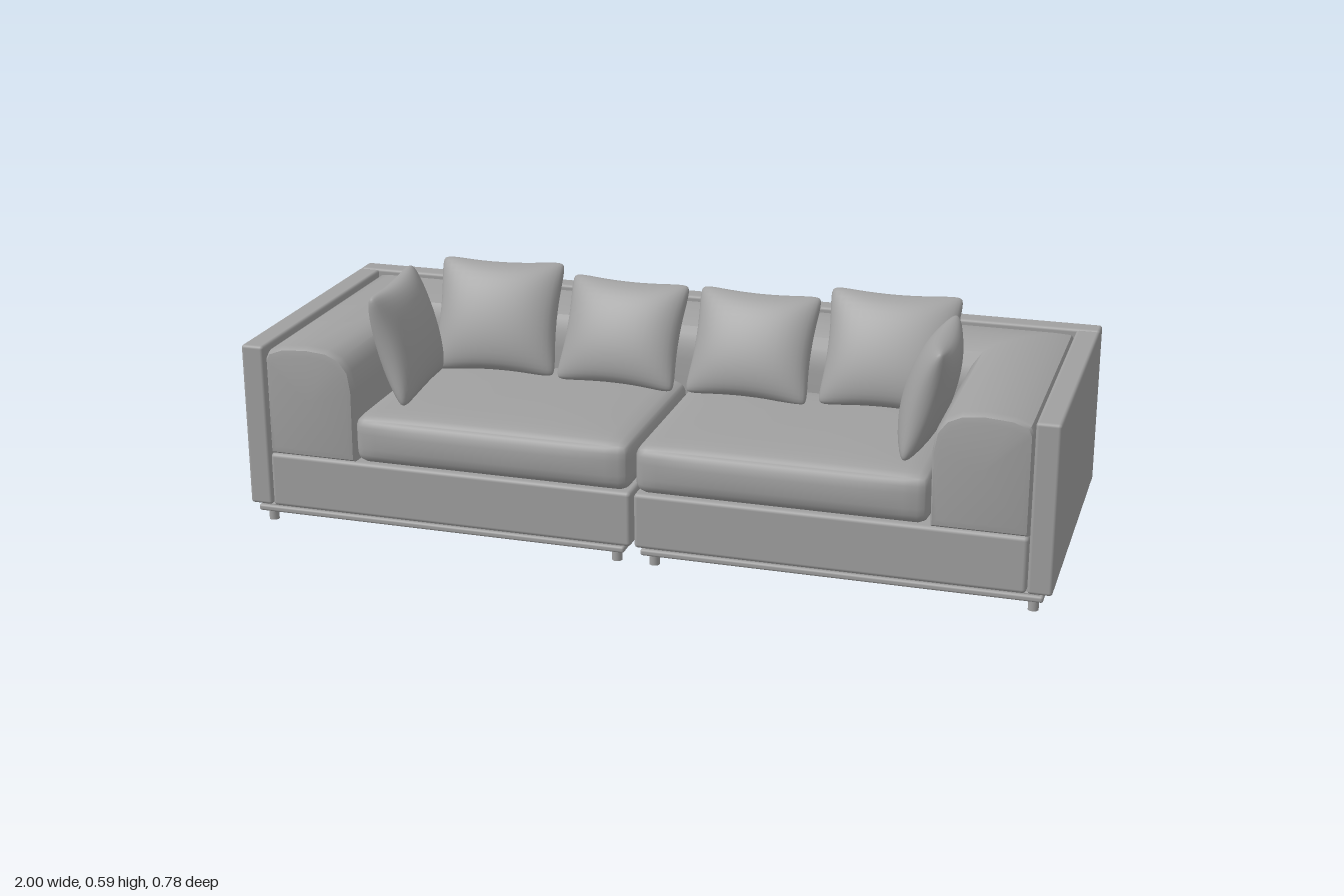
import * as THREE from 'three';
import { mergeGeometries, mergeVertices, toCreasedNormals } from 'three/addons/utils/BufferGeometryUtils.js';
import { RoundedBoxGeometry } from 'three/addons/geometries/RoundedBoxGeometry.js';

const fabric = new THREE.MeshStandardMaterial({ color: 0xa0a0a0 });
fabric.name = 'grey fabric';

// pack grid points towards the edges, t in -1..1
const dense = (t) => Math.sin(THREE.MathUtils.clamp(t, -1, 1) * Math.PI / 2);

// weld vertices so that normals run smoothly over the seams
function smooth(geometry) {
  geometry.deleteAttribute('uv');
  geometry.deleteAttribute('normal');
  const welded = mergeVertices(geometry, 1e-5);
  welded.computeVertexNormals();
  return welded;
}

// rounded block whose top and front swell outwards
function softBlock(w, h, d, r, topSwell, frontSwell) {
  const g = new THREE.BoxGeometry(2, 2, 2, 16, 10, 16);
  const p = g.attributes.position;
  const half = new THREE.Vector3(w / 2, h / 2, d / 2);
  const inner = half.clone().subScalar(r);
  const v = new THREE.Vector3(), core = new THREE.Vector3();
  for (let i = 0; i < p.count; i++) {
    const a = dense(p.getX(i)), b = dense(p.getY(i)), c = dense(p.getZ(i));
    v.set(a, b, c).multiply(half);
    core.copy(v).clamp(inner.clone().negate(), inner);
    v.sub(core).normalize().multiplyScalar(r).add(core);
    v.y += topSwell * (1 - a ** 4) * (1 - c ** 4) * Math.max(0, b);
    v.z += frontSwell * (1 - a ** 4) * (1 - b * b) * Math.max(0, c);
    p.setXYZ(i, v.x, v.y, v.z);
  }
  return smooth(g);
}

// plump throw pillow with drawn-in sides and soft ears
function pillowGeometry(w, h, t) {
  const faces = [1, -1].map((side) => {
    const g = new THREE.PlaneGeometry(2, 2, 20, 20);
    const p = g.attributes.position;
    for (let i = 0; i < p.count; i++) {
      const u = dense(p.getX(i)), v = dense(p.getY(i));
      const ear = 1 - 0.07 * u ** 8 * v ** 8;
      const x = u * (1 - 0.09 * (1 - v * v) * u * u) * ear;
      const y = v * (1 - 0.09 * (1 - u * u) * v * v) * ear;
      const z = Math.pow(Math.max(0, (1 - u * u) * (1 - v * v)), 0.45);
      p.setXYZ(i, side * x * w / 2, y * h / 2, side * z * t / 2);
    }
    return g;
  });
  return smooth(mergeGeometries(faces));
}

// one padded profile swept round both arms and the back, mitred at the corners
function surroundGeometry() {
  const profile = [[0, 0.185], [0, 0.435], [0.008, 0.452], [0.045, 0.466], [0.11, 0.471], [0.165, 0.466],
    [0.2, 0.45], [0.222, 0.42], [0.23, 0.37], [0.228, 0.185]];
  const end = [[0.374, 0], [0.374, 0.85], [0.371, 0.95], [0.364, 0.985], [0.35, 1]];
  const stations = [
    ...end.map(([z, s]) => [-0.94, z, 1, 0, s]),
    [-0.94, -0.332, 1, 1, 1], [0.94, -0.332, -1, 1, 1],
    ...end.slice().reverse().map(([z, s]) => [0.94, z, -1, 0, s]),
  ];
  const points = [], index = [], n = profile.length;
  stations.forEach(([x, z, dx, dz, s], i) => {
    profile.forEach(([d, y], j) => {
      const e = 0.115 + (d - 0.115) * s;
      points.push(x + e * dx, 0.33 + (y - 0.33) * s, z + e * dz);
      if (i + 1 < stations.length) {
        const a = i * n + j, b = i * n + (j + 1) % n;
        index.push(a, b, b + n, a, b + n, a + n);
      }
    });
  });
  const g = new THREE.BufferGeometry();
  g.setAttribute('position', new THREE.Float32BufferAttribute(points, 3));
  g.setIndex(index);
  return toCreasedNormals(g, 0.7);
}

export function createModel() {
  const sofa = new THREE.Group();
  sofa.name = 'sofa';

  function add(name, geometry, x, y, z) {
    const mesh = new THREE.Mesh(geometry, fabric);
    mesh.name = name;
    mesh.position.set(x, y, z);
    sofa.add(mesh);
    return mesh;
  }
  // rounded box given by its limits
  function panel(name, x0, x1, y0, y1, z0, z1, r) {
    const g = new RoundedBoxGeometry(x1 - x0, y1 - y0, z1 - z0, 3, r);
    return add(name, g, (x0 + x1) / 2, (y0 + y1) / 2, (z0 + z1) / 2);
  }

  // outer shell and padded surround
  panel('backPanel', -1, 1, 0.05, 0.465, -0.39, -0.335, 0.008);
  add('armAndBackUpholstery', surroundGeometry(), 0, 0, 0);

  for (const s of [1, -1]) {
    const side = s > 0 ? 'left' : 'right';
    const span = (a, b) => (s > 0 ? [a, b] : [-b, -a]);

    panel(side + 'SidePanel', ...span(0.942, 1), 0.05, 0.465, -0.332, 0.376, 0.008);
    panel(side + 'Base', ...span(0.004, 0.94), 0.048, 0.187, -0.335, 0.374, 0.01);
    add(side + 'SeatCushion', softBlock(0.705, 0.122, 0.51, 0.03, 0.013, 0.012), s * 0.358, 0.248, 0.122);

    // frame of rails under each half
    panel(side + 'FrontRail', ...span(0.02, 0.98), 0.031, 0.047, 0.359, 0.375, 0.006);
    panel(side + 'BackRail', ...span(0.02, 0.98), 0.031, 0.047, -0.378, -0.362, 0.006);
    panel(side + 'InnerRail', ...span(0.02, 0.036), 0.031, 0.047, -0.378, 0.375, 0.006);
    panel(side + 'OuterRail', ...span(0.964, 0.98), 0.031, 0.047, -0.378, 0.375, 0.006);
    panel(side + 'BottomBoard', ...span(0.03, 0.97), 0.04, 0.052, -0.37, 0.367, 0.003);

    // legs
    for (const x of [0.047, 0.955]) {
      for (const z of [0.342, -0.346]) {
        add(side + 'Leg', new THREE.CylinderGeometry(0.0125, 0.0125, 0.034, 20), s * x, 0.017, z);
      }
    }
  }

  // throw pillows: name, width, height, x, y, z, lean, yaw
  const pillows = [
    ['backPillow1', 0.335, 0.305, -0.492, 0.456, -0.056, -0.46, 0.08],
    ['backPillow2', 0.325, 0.285, -0.158, 0.442, -0.056, -0.5, -0.06],
    ['backPillow3', 0.325, 0.285, 0.18, 0.438, -0.062, -0.5, -0.05],
    ['backPillow4', 0.34, 0.305, 0.526, 0.456, -0.06, -0.48, 0],
    ['rightArmPillow', 0.325, 0.295, -0.656, 0.455, 0.152, -0.26, Math.PI / 2 + 0.08],
    ['leftArmPillow', 0.325, 0.29, 0.668, 0.453, 0.168, -0.28, -Math.PI / 2 + 0.05],
  ];
  for (const [name, w, h, x, y, z, lean, yaw] of pillows) {
    const pillow = add(name, pillowGeometry(w, h, 0.115), x, y, z);
    pillow.rotation.set(lean, yaw, 0, 'YXZ');
  }
  return sofa;
}
